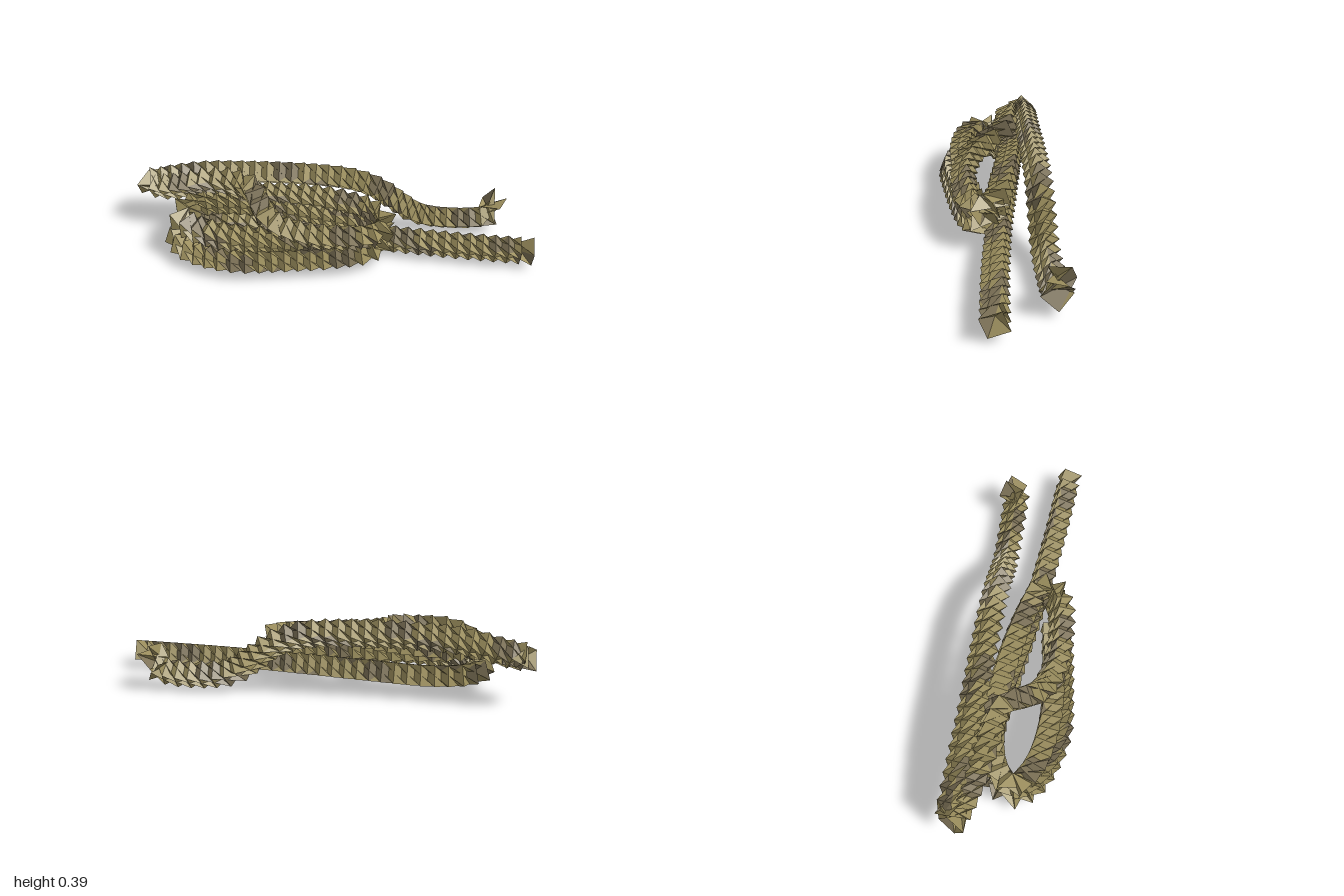
import * as THREE from 'three';

const RADIUS = 0.07;    // corner radius of the square section
const STEP = 0.06;      // distance between sections
const SPAN = 2;         // each strand makes a quarter turn over this many sections

const mats = [0x9c8f5e, 0x7d7257].map((color) => new THREE.MeshStandardMaterial({
  color, flatShading: true, side: THREE.DoubleSide,
}));

function mesh(positions, material, name) {
  const g = new THREE.BufferGeometry();
  g.setAttribute('position', new THREE.Float32BufferAttribute(positions, 3));
  g.computeVertexNormals();
  const m = new THREE.Mesh(g, material);
  m.name = name;
  return m;
}

// Square sections along a path, joined by strands that turn a quarter over SPAN
// sections, so the coarse twists interleave. Every fourth strand is darker.
function rope(name, phase, points) {
  const curve = new THREE.CatmullRomCurve3(points.map((p) => new THREE.Vector3(...p)), false, 'centripetal');
  curve.arcLengthDivisions = 600;
  const n = Math.round(curve.getLength() / STEP);
  const fine = 8; // finer frames keep the section steady through tight bends
  const { normals, binormals } = curve.computeFrenetFrames(n * fine, false);

  const rings = [];
  for (let i = 0; i <= n; i++) {
    const c = curve.getPointAt(i / n);
    const ring = [];
    for (let k = 0; k < 4; k++) {
      const a = k * Math.PI / 2 + phase;
      ring.push(c.clone()
        .addScaledVector(normals[i * fine], RADIUS * Math.cos(a))
        .addScaledVector(binormals[i * fine], RADIUS * Math.sin(a)));
    }
    rings.push(ring);
  }

  const light = [];
  const dark = [];
  const tri = (out, ...v) => v.forEach((p) => out.push(p.x, p.y, p.z));
  for (let i = 0; i + SPAN <= n; i++) {
    const turn = Math.floor(i / SPAN);
    for (let k = 0; k < 4; k++) {
      const out = (k + 4 - turn % 4) % 4 === 0 ? dark : light;
      const [r0, r1] = [rings[i], rings[i + SPAN]];
      const [a, b, c, d] = [r0[k], r0[(k + 1) % 4], r1[(k + 2) % 4], r1[(k + 1) % 4]];
      tri(out, a, b, c);
      tri(out, a, c, d);
    }
  }

  const group = new THREE.Group();
  group.name = name;
  group.add(mesh(light, mats[0], name + 'Strands'), mesh(dark, mats[1], name + 'DarkStrand'));
  return group;
}

export function createModel() {
  const model = new THREE.Group();
  model.name = 'coiledRope';

  // Free end on the ground, then two stacked loops
  model.add(rope('lowerCoil', 0.42, [
    [0.99, 0.08, 0.025], [0.6, 0.08, 0.015], [0.2, 0.08, -0.01], [-0.2, 0.08, -0.05],
    [-0.5, 0.08, -0.07], [-0.66, 0.08, -0.03], [-0.74, 0.08, 0.07], [-0.68, 0.08, 0.16],
    [-0.55, 0.08, 0.215], [-0.4, 0.085, 0.24], [-0.2, 0.085, 0.21], [0.05, 0.085, 0.16],
    [0.22, 0.1, 0.11], [0.28, 0.14, 0.06], [0.22, 0.18, 0.01], [0, 0.19, -0.02],
    [-0.3, 0.2, -0.06], [-0.55, 0.21, -0.05], [-0.67, 0.205, 0], [-0.72, 0.2, 0.07],
    [-0.65, 0.19, 0.14], [-0.5, 0.18, 0.18], [-0.35, 0.17, 0.185], [-0.15, 0.15, 0.16],
    [0.1, 0.12, 0.1],
  ]));

  // Long rear run, folding back at the far end and crossing over the loops
  model.add(rope('upperRun', -0.5, [
    [0.77, 0.175, -0.25], [0.82, 0.14, -0.24], [0.82, 0.1, -0.23], [0.74, 0.075, -0.225],
    [0.58, 0.068, -0.215], [0.43, 0.09, -0.205], [0.33, 0.16, -0.2], [0.23, 0.24, -0.195],
    [0.1, 0.29, -0.19], [-0.15, 0.31, -0.18], [-0.4, 0.31, -0.17], [-0.65, 0.295, -0.165],
    [-0.84, 0.25, -0.165], [-0.955, 0.23, -0.155], [-0.88, 0.22, -0.13], [-0.74, 0.25, -0.1],
    [-0.6, 0.315, -0.07], [-0.46, 0.32, -0.06], [-0.37, 0.31, -0.03], [-0.32, 0.275, 0.05],
    [-0.26, 0.235, 0.12], [-0.12, 0.205, 0.16], [0.05, 0.19, 0.155], [0.2, 0.18, 0.125],
    [0.275, 0.19, 0.075], [0.26, 0.22, 0.015], [0.12, 0.25, -0.025], [-0.1, 0.26, -0.06],
    [-0.35, 0.24, -0.08], [-0.6, 0.23, -0.08],
  ]));
  return model;
}
